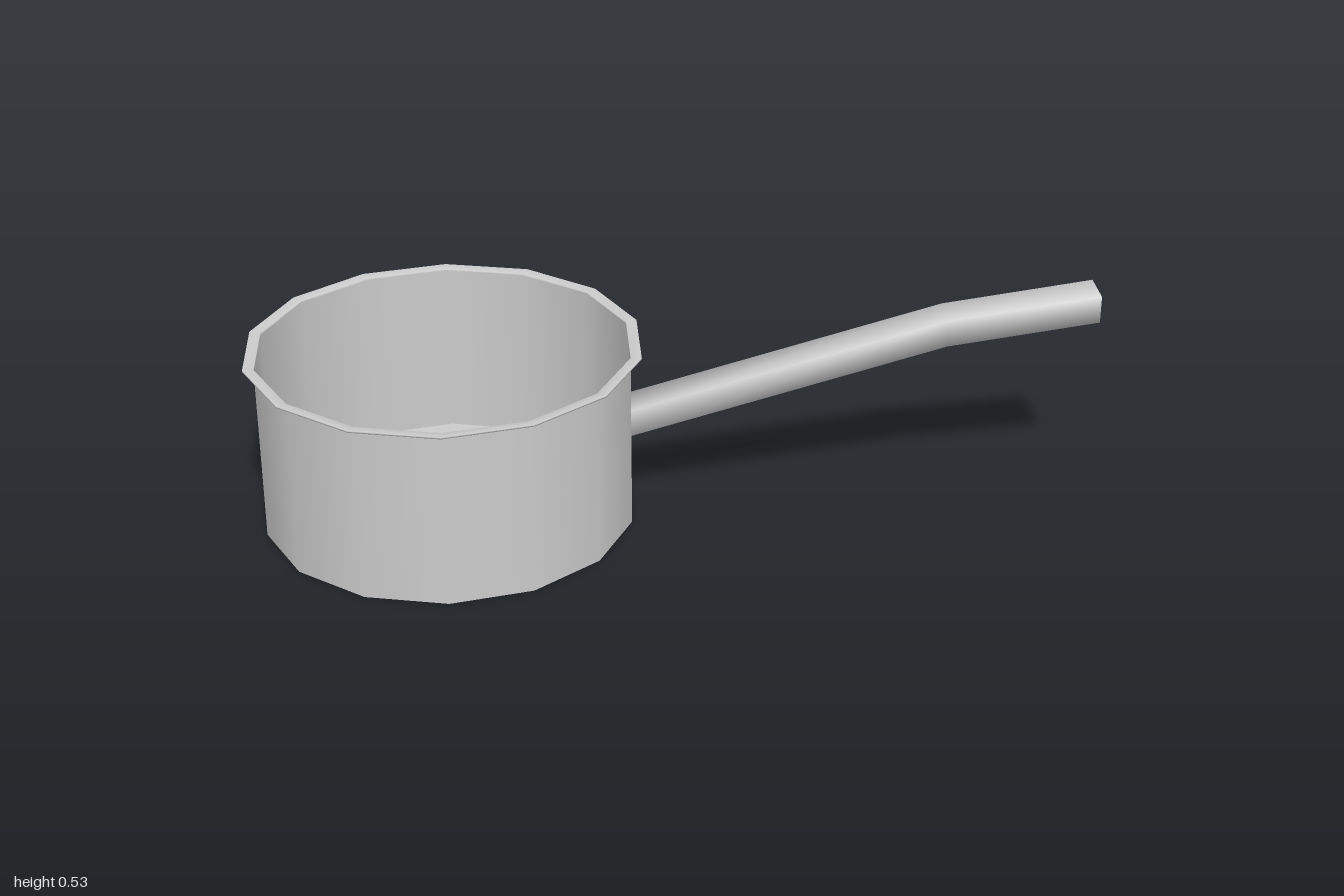
import * as THREE from 'three';
import { mergeVertices } from 'three/addons/utils/BufferGeometryUtils.js';

const SIDES = 14;
const POT_X = -0.5425;
const POT_R = 0.444;
const RIM_Y = 0.432;

export function createModel() {
  const model = new THREE.Group();
  model.name = 'saucepan';
  const solid = new THREE.MeshStandardMaterial({ color: 0xcccccc });
  const thin = new THREE.MeshStandardMaterial({ color: 0xcccccc, side: THREE.DoubleSide });

  const add = (name, geometry, material, parent) => {
    const mesh = new THREE.Mesh(geometry, material);
    mesh.name = name;
    parent.add(mesh);
    return mesh;
  };
  const lathe = (points) =>
    new THREE.LatheGeometry(points.map(([r, y]) => new THREE.Vector2(r, y)), SIDES);

  // Pot: thin wall, flat base and a narrow flat lip
  const pot = new THREE.Group();
  pot.name = 'pot';
  pot.position.x = POT_X;
  model.add(pot);
  add('wall', lathe([[POT_R, 0], [POT_R, RIM_Y]]), thin, pot);
  add('base', lathe([[0, 0], [POT_R, 0]]), thin, pot);
  add('rim', lathe([
    [POT_R, 0.429], [0.47, 0.433], [0.47, 0.437], [POT_R, 0.435], [POT_R, 0.429],
  ]), thin, pot);

  // Handle: softly shaded bar bent upward, with vertical ends
  const stations = [[-0.12, 0.235], [0.64, 0.448], [1, 0.498]]; // x, centre height
  let bar = new THREE.BoxGeometry(2, 0.066, 0.1, 2, 1, 1);
  bar.deleteAttribute('normal');
  bar.deleteAttribute('uv');
  bar = mergeVertices(bar);
  const p = bar.attributes.position;
  for (let i = 0; i < p.count; i++) {
    const [x, y] = stations[Math.round(p.getX(i)) + 1];
    p.setXY(i, x, y + p.getY(i));
  }
  bar.computeVertexNormals();
  add('handle', bar, solid, model);

  return model;
}
